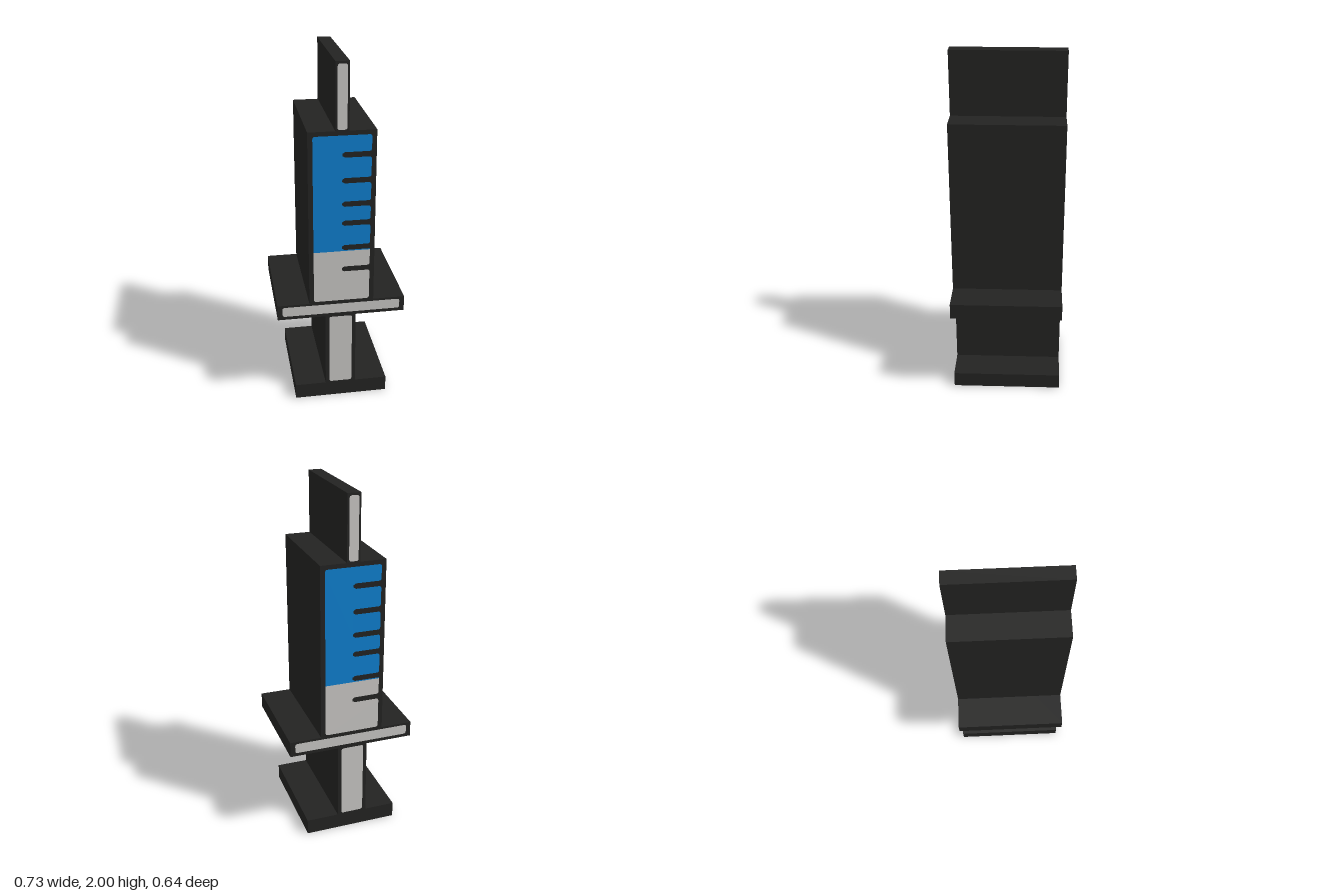
import * as THREE from 'three';

const HALF_DEPTH = 0.317;

function material(name, color) {
  const m = new THREE.MeshStandardMaterial({ color });
  m.name = name;
  return m;
}

// Outline with rounded corners; square ends where two panels meet.
// Graduation notches are cut from the right edge towards tipX.
function panelShape({ x0, x1, y0, y1, top = 0.014, bottom = 0.014, notches = [], tipX = 0 }) {
  const s = new THREE.Shape();
  const h = 0.015, r = 0.014;
  s.moveTo(x0 + bottom, y0);
  let low = y0, lowR = bottom;
  const edge = (high, highR) => {
    const limit = (high - low) / 2;
    const a = Math.min(lowR, limit), b = Math.min(highR, limit);
    s.lineTo(x1 - a, low);
    s.quadraticCurveTo(x1, low, x1, low + a);
    s.lineTo(x1, high - b);
    s.quadraticCurveTo(x1, high, x1 - b, high);
  };
  for (const y of notches) {
    edge(y - h, r);
    s.lineTo(tipX + 0.014, y - h);
    s.lineTo(tipX, y - 0.006);
    s.lineTo(tipX, y + 0.006);
    s.lineTo(tipX + 0.014, y + h);
    low = y + h;
    lowR = r;
  }
  edge(y1, top);
  s.lineTo(x0 + top, y1);
  s.quadraticCurveTo(x0, y1, x0, y1 - top);
  s.lineTo(x0, y0 + bottom);
  s.quadraticCurveTo(x0, y0, x0 + bottom, y0);
  return s;
}

export function createModel() {
  const group = new THREE.Group();
  group.name = 'syringe';
  const black = material('black casing', 0x232322);
  const grey = material('light grey', 0xc7c5c3);
  const blue = material('blue liquid', 0x0e7ecd);

  // Solid black blocks running the full depth
  const blocks = [
    ['plungerBase', -0.27, 0.27, 0, 0.09],
    ['plungerRod', -0.092, 0.083, 0.09, 0.545],
    ['fingerFlange', -0.364, 0.364, 0.545, 0.635],
    ['barrel', -0.183, 0.183, 0.635, 1.64],
    ['needle', -0.037, 0.037, 1.64, 2],
  ];
  for (const [name, x0, x1, y0, y1] of blocks) {
    const mesh = new THREE.Mesh(new THREE.BoxGeometry(x1 - x0, y1 - y0, HALF_DEPTH * 2), black);
    mesh.position.set((x0 + x1) / 2, (y0 + y1) / 2, 0);
    mesh.name = name;
    group.add(mesh);
  }

  // Painted faces, repeated on the back by a half turn about the block's middle
  const panels = [
    ['plungerRodFace', grey, { x0: -0.066, x1: 0.066, y0: 0.098, y1: 0.54 }, -0.0045],
    ['fingerFlangeFace', grey, { x0: -0.336, x1: 0.336, y0: 0.565, y1: 0.623 }, 0],
    ['emptyBarrelWindow', grey, { x0: -0.157, x1: 0.157, y0: 0.645, y1: 0.953, top: 0, notches: [0.842] }, 0],
    ['liquidWindow', blue, { x0: -0.157, x1: 0.157, y0: 0.953, y1: 1.616, bottom: 0,
      notches: [0.974, 1.12, 1.232, 1.366, 1.51] }, 0],
    ['needleFace', grey, { x0: -0.026, x1: 0.026, y0: 1.646, y1: 1.988 }, 0],
  ];
  for (const [name, mat, outline, x] of panels) {
    const geometry = new THREE.ShapeGeometry(panelShape(outline), 4);
    for (const side of [1, -1]) {
      const mesh = new THREE.Mesh(geometry, mat);
      mesh.name = name + (side > 0 ? 'Front' : 'Back');
      mesh.position.set(x, 0, side * (HALF_DEPTH + 0.002));
      if (side < 0) mesh.rotation.y = Math.PI;
      group.add(mesh);
    }
  }
  return group;
}
